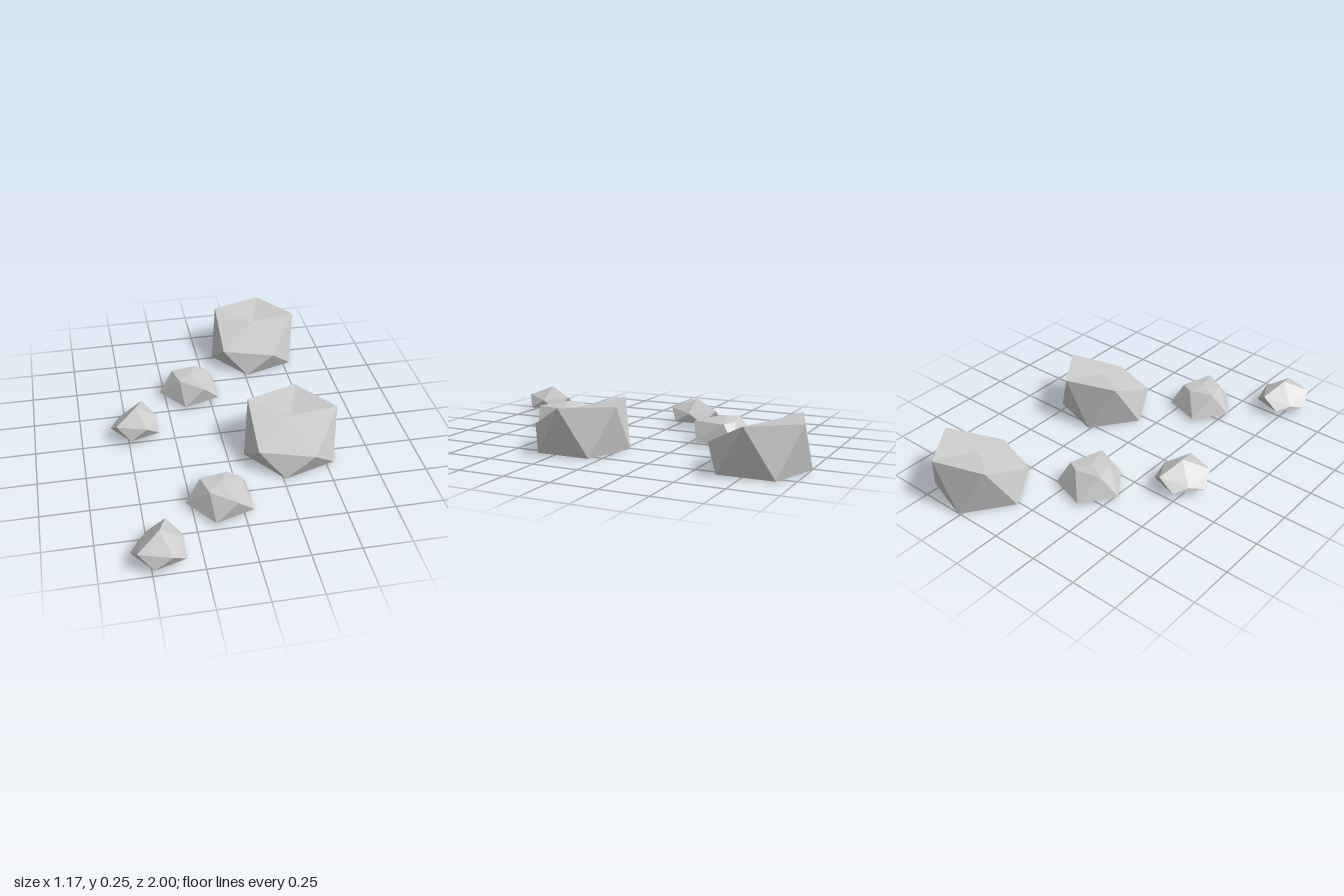
import * as THREE from 'three';

const material = new THREE.MeshStandardMaterial({ color: 0xcccccc, flatShading: true, side: THREE.DoubleSide });

// Point on a horizontal circle; 0 degrees is +x, 90 degrees is the front.
const ring = (r, degrees, y) => {
  const a = THREE.MathUtils.degToRad(degrees);
  return [r * Math.cos(a), y, r * Math.sin(a)];
};

// A rock is a cut icosahedron, open below: a regular foot pentagon,
// a shoulder ring of five points turned half a step, and a crown point.
function rockGeometry({ radius, base, shoulder, crown }) {
  const foot = [180, 108, 36, -36, -108].map((a) => ring(radius, a, base));
  const points = [];
  for (let i = 0; i < 5; i++) {
    const j = (i + 1) % 5;
    points.push(
      crown, shoulder[i], shoulder[j],
      shoulder[i], foot[i], foot[j],
      shoulder[i], foot[j], shoulder[j],
    );
  }
  const geometry = new THREE.BufferGeometry();
  geometry.setAttribute('position', new THREE.Float32BufferAttribute(points.flat(), 3));
  geometry.computeVertexNormals();
  return geometry;
}

// Shoulder points run front left, front right, right, back right, back left as seen from the front.
const rocks = [
  {
    name: 'largeRock', x: 0.34, z: 0.205, radius: 0.25, base: 0,
    shoulder: [
      ring(0.25, 144, 0.12), ring(0.25, 72, 0.12), ring(0.247, 0, 0.25),
      ring(0.25, -72, 0.25), ring(0.25, -144, 0.25),
    ],
    crown: [0, 0.22, 0],
  },
  {
    name: 'mediumRock', x: -0.098, z: 0.555, radius: 0.18, base: 0.02,
    shoulder: [
      [-0.07, 0.127, 0.065], [0.058, 0.115, 0.152], [0.108, 0.12, -0.035],
      [0.04, 0.128, -0.075], [-0.099, 0.13, -0.045],
    ],
    crown: [0, 0.14, 0],
  },
  {
    name: 'smallRock', x: -0.446, z: 0.865, radius: 0.142, base: 0.035,
    shoulder: [
      ring(0.142, 144, 0.1), ring(0.142, 72, 0.1), [0.113, 0.085, 0],
      ring(0.142, -72, 0.1), [-0.089, 0.055, -0.065],
    ],
    crown: [0, 0.155, 0],
  },
];

export function createModel() {
  const group = new THREE.Group();
  group.name = 'rocks';
  // Two identical rows, one behind the other
  [['frontRow', 0], ['backRow', -0.97]].forEach(([name, offset]) => {
    const row = new THREE.Group();
    row.name = name;
    row.position.z = offset;
    for (const rock of rocks) {
      const mesh = new THREE.Mesh(rockGeometry(rock), material);
      mesh.name = rock.name;
      mesh.position.set(rock.x, 0, rock.z);
      row.add(mesh);
    }
    group.add(row);
  });
  return group;
}
